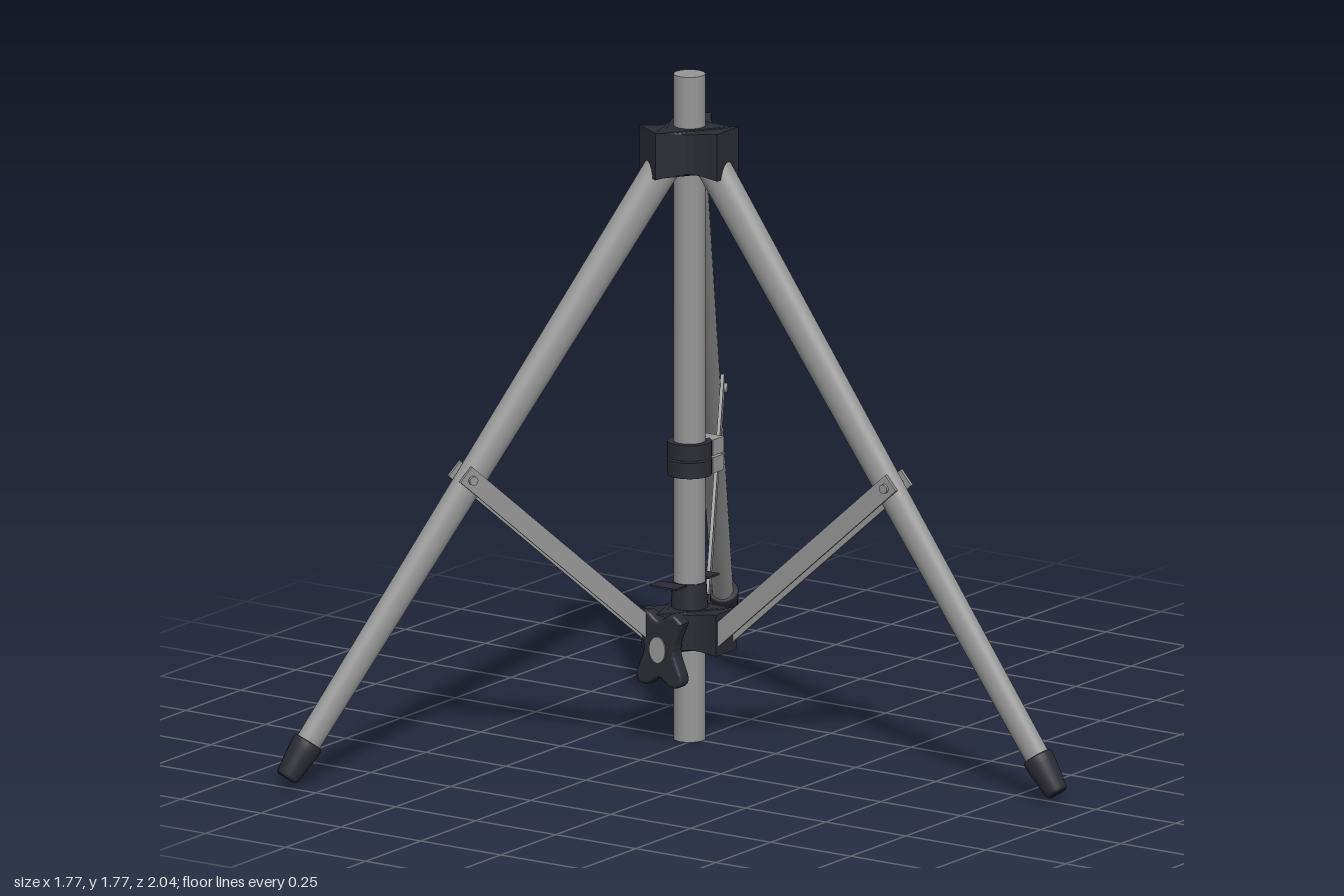
import * as THREE from 'three';

const AXIS_X = -0.27;

export function createModel() {
  const metal = new THREE.MeshStandardMaterial({ color: 0x969696 });
  metal.name = 'grey metal';
  const plastic = new THREE.MeshStandardMaterial({ color: 0x2b2b34 });
  plastic.name = 'dark plastic';

  const model = new THREE.Group();
  model.name = 'tripodStand';
  const stand = new THREE.Group();
  stand.name = 'stand';
  stand.position.x = AXIS_X;
  model.add(stand);

  function add(parent, name, geometry, material, x = 0, y = 0, z = 0) {
    const mesh = new THREE.Mesh(geometry, material);
    mesh.name = name;
    mesh.position.set(x, y, z);
    parent.add(mesh);
    return mesh;
  }

  // Places a part whose length is its local y between two points of the xy plane
  function span(mesh, a, b, z = 0) {
    mesh.position.set((a[0] + b[0]) / 2, (a[1] + b[1]) / 2, z);
    mesh.rotation.z = Math.atan2(b[1] - a[1], b[0] - a[0]) - Math.PI / 2;
    return mesh;
  }
  const dist = (a, b) => Math.hypot(b[0] - a[0], b[1] - a[1]);

  // Three-armed hub: concave between the arms, taller at the arm ends
  function hubGeometry(reach, halfWidth, height) {
    const shape = new THREE.Shape();
    const at = (angle, r, w) => [
      Math.cos(angle) * r - Math.sin(angle) * w,
      Math.sin(angle) * r + Math.cos(angle) * w,
    ];
    for (let i = 0; i < 3; i++) {
      const a = (i * Math.PI * 2) / 3;
      if (i === 0) shape.moveTo(...at(a, reach, -halfWidth));
      shape.lineTo(...at(a, reach, halfWidth));
      const next = a + (Math.PI * 2) / 3;
      shape.quadraticCurveTo(...at(a + Math.PI / 3, 0.045, 0), ...at(next, reach, -halfWidth));
    }
    const g = new THREE.ExtrudeGeometry(shape, { depth: height, bevelEnabled: false, curveSegments: 8 });
    g.translate(0, 0, -height / 2);
    g.rotateX(-Math.PI / 2);
    const p = g.attributes.position;
    for (let i = 0; i < p.count; i++) {
      const r = Math.min(1, Math.hypot(p.getX(i), p.getZ(i)) / reach);
      p.setY(i, p.getY(i) * (0.6 + 0.4 * r));
    }
    g.computeVertexNormals();
    return g;
  }

  // Centre column and hubs
  add(stand, 'centreColumn', new THREE.CylinderGeometry(0.041, 0.041, 1.77, 32), metal, 0, 0.885, 0);
  add(stand, 'topHub', hubGeometry(0.12, 0.049, 0.125), plastic, 0, 1.573, 0);
  add(stand, 'lowerHub', hubGeometry(0.115, 0.047, 0.11), plastic, 0, 0.3, 0);
  add(stand, 'lowerCollar', new THREE.CylinderGeometry(0.044, 0.05, 0.1, 32), plastic, 0, 0.37, 0);

  // Column clamp: two bands with metal lugs behind
  for (const y of [0.726, 0.773]) {
    add(stand, 'clampBand', new THREE.CylinderGeometry(0.058, 0.058, 0.042, 32), plastic, 0, y, 0);
    add(stand, 'clampLug', new THREE.BoxGeometry(0.1, 0.042, 0.05), metal, 0, y, -0.06);
  }

  // Thin tabs above the lower hub
  for (const s of [-1, 1]) {
    add(stand, 'lockTab', new THREE.BoxGeometry(0.08, 0.005, 0.05), plastic, -0.015, 0.42, s * 0.075);
  }

  // Legs with feet, paired struts and pivot bolts
  const legTop = [0.063, 1.55];
  const footEnd = [1.15, 0.024];
  const t = 0.11 / dist(legTop, footEnd);
  const footTop = [0, 1].map((i) => footEnd[i] + (legTop[i] - footEnd[i]) * t);
  const strutLow = [0.085, 0.275];
  const strutHigh = [0.655, 0.785];
  const footProfile = [[0, -0.055], [0.026, -0.055], [0.031, -0.046], [0.04, 0.03], [0.041, 0.05], [0.038, 0.055], [0, 0.055]]
    .map(([r, y]) => new THREE.Vector2(r, y));

  for (let i = 0; i < 3; i++) {
    const leg = new THREE.Group();
    leg.name = 'leg';
    leg.rotation.y = (i * Math.PI * 2) / 3;
    stand.add(leg);

    const tube = new THREE.CylinderGeometry(0.048, 0.035, dist(legTop, footTop), 28);
    tube.scale(1, 1, 0.78);
    span(add(leg, 'legTube', tube, metal), footTop, legTop);
    span(add(leg, 'foot', new THREE.LatheGeometry(footProfile, 24), plastic), footEnd, footTop);

    for (const s of [-1, 1]) {
      const bar = new THREE.BoxGeometry(0.05, dist(strutLow, strutHigh), 0.009);
      span(add(leg, 'strut', bar, metal), strutLow, strutHigh, s * 0.035);
    }
    const bolt = new THREE.CylinderGeometry(0.012, 0.012, 0.096, 16);
    bolt.rotateX(Math.PI / 2);
    add(leg, 'pivotBolt', bolt, metal, 0.637, 0.768, 0);
  }

  // Four-lobed locking knob on the front
  const outline = [];
  for (const deg of [58, 122, 238, 302]) {
    const a = THREE.MathUtils.degToRad(deg);
    for (const [da, r] of [[-0.15, 0.098], [0.15, 0.098]]) {
      outline.push(new THREE.Vector2(Math.cos(a + da) * r, Math.sin(a + da) * r));
    }
    const gap = THREE.MathUtils.degToRad(deg === 58 ? 90 : deg === 122 ? 180 : deg === 238 ? 270 : 0);
    const r = deg === 122 || deg === 302 ? 0.04 : 0.068;
    outline.push(new THREE.Vector2(Math.cos(gap) * r, Math.sin(gap) * r));
  }
  const knobShape = new THREE.Shape(new THREE.SplineCurve([...outline, outline[0]]).getPoints(60).slice(0, -1));
  const knob = new THREE.Group();
  knob.name = 'lockKnob';
  knob.position.set(0, 0.267, 0);
  stand.add(knob);
  add(knob, 'knobGrip', new THREE.ExtrudeGeometry(knobShape, {
    depth: 0.02, bevelThickness: 0.012, bevelSize: 0.01, bevelOffset: -0.002, bevelSegments: 3,
  }), plastic, 0, 0, 0.112);
  const stem = new THREE.CylinderGeometry(0.025, 0.025, 0.09, 20);
  stem.rotateX(Math.PI / 2);
  add(knob, 'knobStem', stem, plastic, 0, 0, 0.075);
  const cap = new THREE.CylinderGeometry(0.025, 0.025, 0.006, 24);
  cap.rotateX(Math.PI / 2);
  cap.scale(1, 1.4, 1);
  add(knob, 'knobCap', cap, metal, 0, 0, 0.145);

  return model;
}
